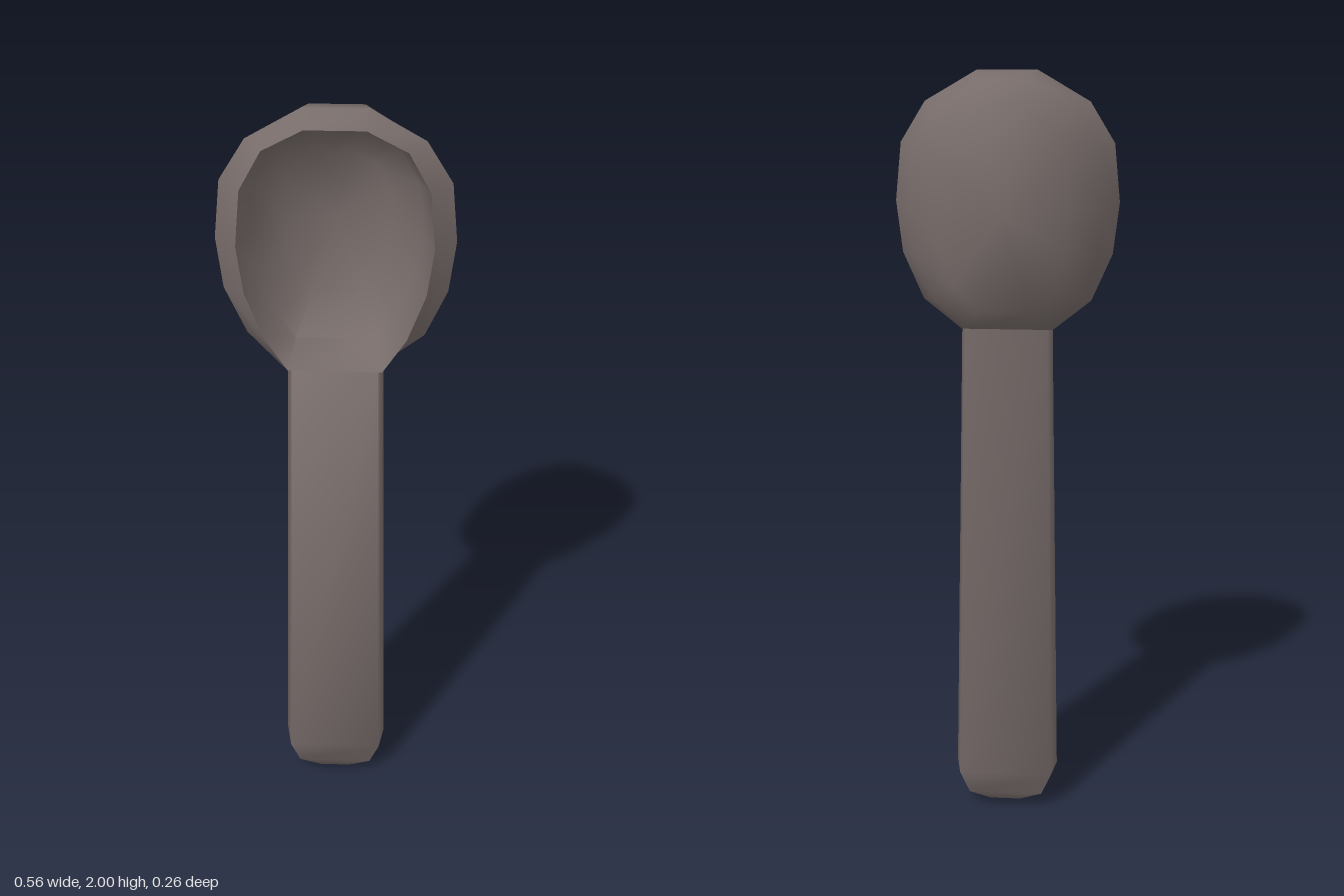
import * as THREE from 'three';
import { toCreasedNormals } from 'three/addons/utils/BufferGeometryUtils.js';

// Skin a list of equal-length rings; a ring of one point closes an end
function loft(rings, crease) {
  const pos = [];
  const n = Math.max(...rings.map((r) => r.length));
  const at = (r, j) => r[j % r.length];
  for (let i = 0; i < rings.length - 1; i++) {
    const p = rings[i], q = rings[i + 1];
    for (let j = 0; j < n; j++) {
      const a = at(p, j), b = at(p, j + 1), c = at(q, j + 1), d = at(q, j);
      if (p.length > 1) pos.push(...a, ...d, ...b);
      if (q.length > 1) pos.push(...b, ...d, ...c);
    }
  }
  const g = new THREE.BufferGeometry();
  g.setAttribute('position', new THREE.Float32BufferAttribute(pos, 3));
  return toCreasedNormals(g, crease);
}

// Right half of an outline, bottom to top, mirrored into a closed ring
const mirrored = (half) => [...half, ...half.map(([x, y]) => [-x, y]).reverse()];

const CENTRE_Y = 1.67;
const ringAt = (outline, z, sx = 1, sy = 1) =>
  outline.map(([x, y]) => [x * sx, CENTRE_Y + (y - CENTRE_Y) * sy, z]);

export function createModel() {
  const group = new THREE.Group();
  group.name = 'spoon';
  const metal = new THREE.MeshStandardMaterial({ color: 0x776c6a });
  metal.name = 'dull grey';

  const add = (name, geometry) => {
    const mesh = new THREE.Mesh(geometry, metal);
    mesh.name = name;
    group.add(mesh);
  };

  // Bowl: hollow, front rim, widest outline, then the rounded back
  const rim = mirrored([[0.115, 1.35], [0.172, 1.44], [0.215, 1.56], [0.23, 1.68],
    [0.217, 1.82], [0.165, 1.915], [0.07, 1.965]]);
  const outline = mirrored([[0.115, 1.35], [0.215, 1.43], [0.267, 1.55], [0.282, 1.68],
    [0.267, 1.825], [0.205, 1.925], [0.075, 2.0]]);
  add('bowl', loft([
    [[0, CENTRE_Y, -0.095]],
    ringAt(rim, -0.065, 0.55, 0.6),
    ringAt(rim, 0.005, 0.88, 0.88),
    ringAt(rim, 0.1),
    ringAt(outline, 0.053),
    ringAt(outline, -0.02, 0.857, 0.94),
    ringAt(outline, -0.088, 0.58, 0.76),
    [[0, CENTRE_Y, -0.13]],
  ], 0.95));

  // Handle: six-sided sections, half width, z of front and back, y of each edge
  const section = (w, front, back, yFront, yMid, yBack) => {
    const mid = (front + back) / 2, f = w * 0.9;
    return [[w, yMid, mid], [f, yBack, back], [-f, yBack, back],
      [-w, yMid, mid], [-f, yFront, front], [f, yFront, front]];
  };
  add('handle', loft([
    [[0, 1.36, 0.05]],
    section(0.117, 0.1, 0.01, 1.35, 1.36, 1.38),
    section(0.141, 0.13, -0.02, 0.1, 0.1, 0.1),
    section(0.112, 0.13, -0.02, 0.04, 0.035, 0.04),
    section(0.045, 0.13, -0.02, 0.022, 0.004, 0.022),
    [[0, 0, 0.055]],
  ], 1.45));

  return group;
}
